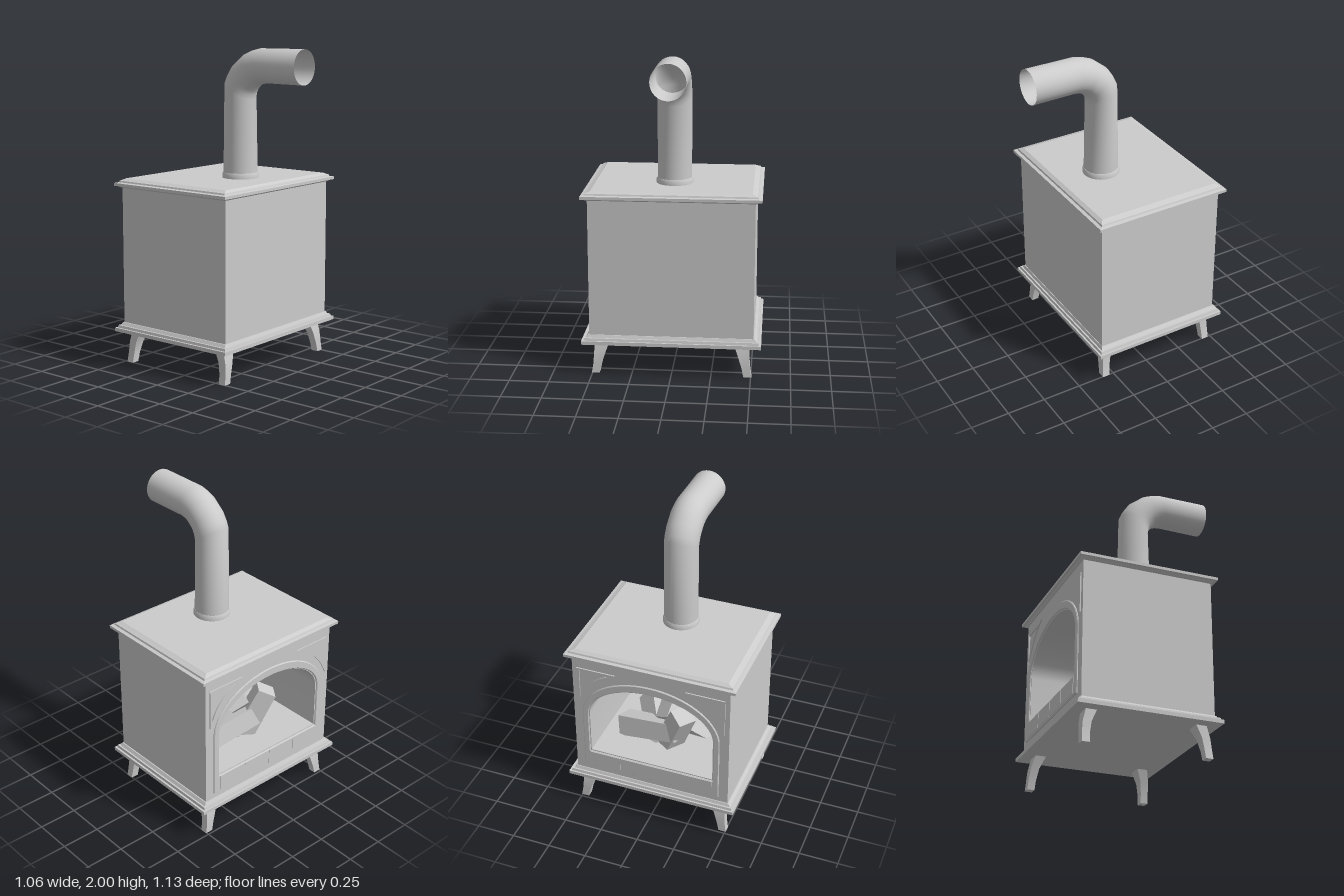
import * as THREE from 'three';
import { toCreasedNormals } from 'three/addons/utils/BufferGeometryUtils.js';

const material = new THREE.MeshStandardMaterial({ color: 0xcccccc });
const thin = new THREE.MeshStandardMaterial({ color: 0xcccccc, side: THREE.DoubleSide });
const CX = -0.078; // centre of the stove box; the flue reaches past it on +x

function mesh(name, geometry, mat = material) {
  const m = new THREE.Mesh(geometry, mat);
  m.name = name;
  return m;
}

// Skin a stack of rings (each an array of [x, y, z]), optionally capped
function loft(rings, caps = true, crease = 0.5) {
  const pos = [];
  const n = rings[0].length;
  const tri = (a, b, c) => pos.push(...a, ...b, ...c);
  for (let i = 0; i < rings.length - 1; i++) {
    for (let j = 0; j < n; j++) {
      const k = (j + 1) % n;
      const [a, b, c, d] = [rings[i][j], rings[i][k], rings[i + 1][k], rings[i + 1][j]];
      tri(a, b, c);
      tri(a, c, d);
    }
  }
  if (caps) {
    const lo = rings[0], hi = rings[rings.length - 1];
    for (let j = 1; j < n - 1; j++) {
      tri(lo[0], lo[j + 1], lo[j]);
      tri(hi[0], hi[j], hi[j + 1]);
    }
  }
  const g = new THREE.BufferGeometry();
  g.setAttribute('position', new THREE.Float32BufferAttribute(pos, 3));
  g.computeVertexNormals();
  return toCreasedNormals(g, crease);
}

const rect = (y, x0, x1, z0, z1) => [[x1, y, z1], [x1, y, z0], [x0, y, z0], [x0, y, z1]];

// Rectangular moulding from [y, half width, half depth] steps
const moulding = (steps) =>
  loft(steps.map(([y, hx, hz]) => rect(y, CX - hx, CX + hx, -hz, hz)), true, 0.2);

// Arch outline: flat sill, straight jambs, elliptical head
function arch(Type, half, sill, spring, top) {
  const p = new Type();
  p.moveTo(-half, sill);
  p.lineTo(half, sill);
  p.lineTo(half, spring);
  p.absellipse(0, spring, half, top - spring, 0, Math.PI, false, 0);
  p.closePath();
  return p;
}

// Extrude a door-side outline along +x, starting at x
function extrudeX(shape, x, depth, bevel = 0) {
  const g = new THREE.ExtrudeGeometry(shape, {
    depth: depth - 2 * bevel, curveSegments: 24, bevelEnabled: bevel > 0,
    bevelThickness: bevel, bevelSize: bevel, bevelOffset: -bevel, bevelSegments: 1,
  });
  g.rotateY(Math.PI / 2).translate(x + bevel, 0, 0);
  return toCreasedNormals(g, 0.5);
}

export function createModel() {
  const stove = new THREE.Group();
  stove.name = 'stove';

  // Base and top plates with stepped edges
  stove.add(mesh('basePlate', moulding([
    [0.205, 0.455, 0.563], [0.228, 0.455, 0.563], [0.228, 0.444, 0.55], [0.244, 0.44, 0.546],
    [0.244, 0.43, 0.535], [0.262, 0.422, 0.522],
  ])));
  stove.add(mesh('topPlate', moulding([
    [1.13, 0.424, 0.524], [1.142, 0.436, 0.54], [1.142, 0.45, 0.556], [1.16, 0.45, 0.556],
    [1.164, 0.43, 0.534], [1.174, 0.426, 0.53], [1.184, 0.408, 0.502], [1.187, 0.403, 0.496],
  ])));

  // Firebox: walls with an arched tunnel, closed by a back slab
  const wall = new THREE.Shape([[-0.515, 0.25], [0.515, 0.25], [0.515, 1.14], [-0.515, 1.14]]
    .map(([x, y]) => new THREE.Vector2(x, y)));
  const back = wall.clone();
  wall.holes.push(arch(THREE.Path, 0.41, 0.425, 0.72, 0.97));
  stove.add(mesh('fireboxWalls', extrudeX(wall, -0.495, 0.75)));
  stove.add(mesh('fireboxBack', extrudeX(back, 0.255, 0.085)));

  // Raised arch surround around the opening
  const surround = arch(THREE.Shape, 0.455, 0.3, 0.72, 1.03);
  surround.holes.push(arch(THREE.Path, 0.415, 0.42, 0.72, 0.975));
  stove.add(mesh('archSurround', extrudeX(surround, -0.506, 0.014, 0.005)));

  // Four sill tiles under the opening
  for (let i = 0; i < 4; i++) {
    const tile = mesh('sillTile', new THREE.BoxGeometry(0.006, 0.1, 0.2));
    tile.position.set(-0.506, 0.365, -0.309 + i * 0.206);
    stove.add(tile);
  }

  // Curved triangular frames in the upper corners
  const corner = (Type, s, inset) => {
    const p = new Type();
    p.moveTo(s * (0.485 - inset), 1.06 - inset);
    p.lineTo(s * (0.23 + inset * 2.4), 1.06 - inset);
    p.quadraticCurveTo(s * (0.41 + inset * 0.6), 0.98, s * (0.485 - inset), 0.8 + inset * 2.4);
    p.closePath();
    return p;
  };
  for (const s of [-1, 1]) {
    const frame = corner(THREE.Shape, s, 0);
    frame.holes.push(corner(THREE.Path, s, 0.018));
    stove.add(mesh('cornerOrnament', extrudeX(frame, -0.503, 0.01)));
  }

  // Split logs leaning together on the firebox floor
  const logs = [
    [[-0.27, 0.56, 0.08], [0.35, 0.2, 0.25], 0.36],
    [[-0.24, 0.51, -0.1], [1.25, 0.5, 0.2], 0.42],
    [[-0.12, 0.53, 0.1], [-0.9, 0.3, 0.5], 0.4],
    [[-0.1, 0.49, -0.12], [1.5, 0.1, 1.1], 0.4],
  ];
  for (const [position, rotation, length] of logs) {
    const g = new THREE.CylinderGeometry(0.085, 0.095, length, 4).toNonIndexed();
    g.computeVertexNormals();
    const log = mesh('log', g);
    log.position.set(...position);
    log.rotation.set(...rotation);
    stove.add(log);
  }

  // Splayed legs: [y, inner x, outer x, inner z, outer z] from the box centre
  const legSteps = [
    [0, 0.358, 0.405, 0.455, 0.505], [0.06, 0.354, 0.402, 0.442, 0.495],
    [0.13, 0.343, 0.396, 0.42, 0.49], [0.21, 0.308, 0.376, 0.39, 0.486],
  ];
  for (const sx of [-1, 1]) {
    for (const sz of [-1, 1]) {
      const rings = legSteps.map(([y, xi, xo, zi, zo]) => rect(y,
        CX + (sx > 0 ? xi : -xo), CX + (sx > 0 ? xo : -xi), sz > 0 ? zi : -zo, sz > 0 ? zo : -zi));
      stove.add(mesh('leg', loft(rings, true, 0.4)));
    }
  }

  // Flue collar
  const collar = new THREE.LatheGeometry([[0.116, 1.18], [0.116, 1.208], [0.109, 1.222], [0.1, 1.222]]
    .map(([r, y]) => new THREE.Vector2(r, y)), 32);
  const collarMesh = mesh('flueCollar', toCreasedNormals(collar, 0.5), thin);
  collarMesh.position.x = 0.041;
  stove.add(collarMesh);

  // Flue pipe: outer and inner bend points of each oval ring, open at the end
  const flue = [
    [-0.068, 1.19, 0.15, 1.19], [-0.055, 1.79, 0.135, 1.68], [-0.034, 1.835, 0.139, 1.71],
    [0.005, 1.893, 0.15, 1.735], [0.095, 1.964, 0.185, 1.768], [0.145, 1.984, 0.215, 1.779],
    [0.2, 1.998, 0.25, 1.785], [0.53, 2.0, 0.53, 1.782],
  ];
  const pipeRings = flue.map(([ox, oy, ix, iy]) => Array.from({ length: 32 }, (_, j) => {
    const a = (j / 32) * Math.PI * 2, c = Math.cos(a);
    return [(ox + ix) / 2 + c * (ix - ox) / 2, (oy + iy) / 2 + c * (iy - oy) / 2, -Math.sin(a) * 0.108];
  }));
  stove.add(mesh('fluePipe', loft(pipeRings, false, 0.7), thin));

  return stove;
}
